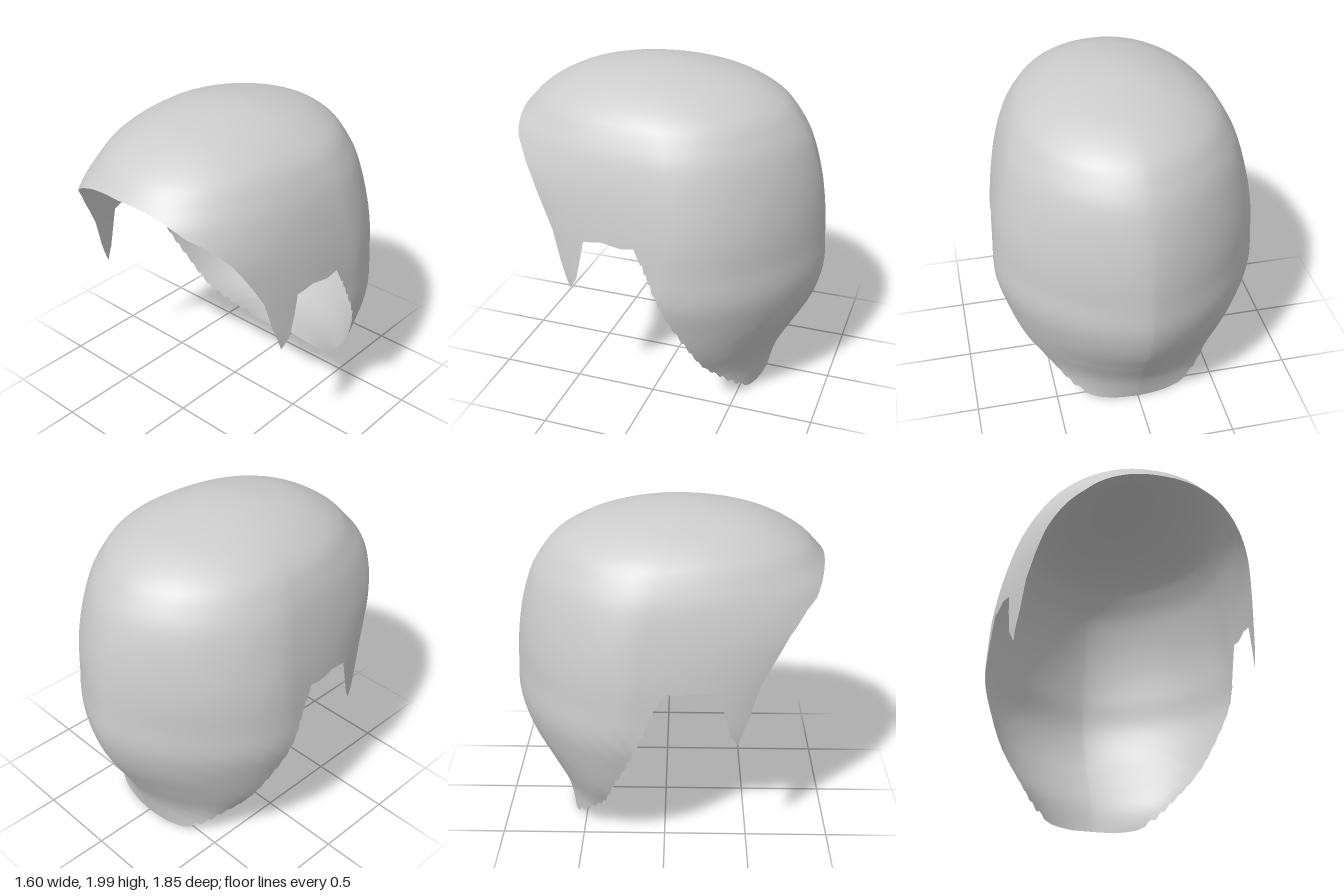
import * as THREE from 'three';

// Horizontal sections of the skull shape: y, half width, z of widest point, back z, front z
const SECTIONS = [
  [2.0, 0, 0.1, 0.1, 0.1],
  [1.98, 0.2, 0.08, -0.15, 0.34],
  [1.95, 0.31, 0.06, -0.31, 0.5],
  [1.9, 0.43, 0.03, -0.48, 0.645],
  [1.8, 0.57, -0.02, -0.655, 0.82],
  [1.7, 0.637, -0.05, -0.74, 0.92],
  [1.6, 0.683, -0.08, -0.8, 1.01],
  [1.4, 0.738, -0.12, -0.865, 1.1],
  [1.2, 0.773, -0.15, -0.9, 1.05],
  [1.0, 0.79, -0.15, -0.915, 0.98],
  [0.8, 0.795, -0.15, -0.918, 0.94],
  [0.6, 0.745, -0.16, -0.865, 0.9],
  [0.4, 0.665, -0.21, -0.76, 0.8],
  [0.2, 0.51, -0.35, -0.655, 0.6],
  [0.0, 0.38, -0.5, -0.6, 0.4],
].map(([y, ...rest]) => [Math.sqrt(2 - y), ...rest]);

// Lower edge seen from the side (z, y), paired with a midline position a:
// the midline height is 2 - a * a, in front for a > 0 and behind for a < 0
const EDGE = [
  [0.925, 1.69, 0.557], [0.912, 1.675, 0.545], [0.885, 1.63, 0.53], [0.85, 1.575, 0.51],
  [0.79, 1.53, 0.49], [0.69, 1.41, 0.46], [0.6, 1.26, 0.43], [0.53, 1.13, 0.39],
  [0.48, 0.95, 0.36], [0.42, 0.79, 0.33], [0.37, 0.87, 0.3], [0.34, 1.0, 0.27],
  [0.315, 1.12, 0.22], [0.2, 1.145, 0.12], [0.08, 1.13, 0.02], [0, 1.145, -0.05],
  [-0.05, 1.04, -0.2], [-0.11, 0.9, -0.45], [-0.2, 0.69, -0.8], [-0.29, 0.48, -1.0],
  [-0.36, 0.28, -1.2], [-0.46, 0.15, -1.3], [-0.56, 0.03, -1.38], [-0.59, 0.01, -1.41],
];

// Smooth interpolation of one column of the section table
function sample(column, v) {
  const last = SECTIONS.length - 1;
  let i = 0;
  while (i < last - 1 && v > SECTIONS[i + 1][0]) i++;
  const slope = (k) => {
    const a = SECTIONS[Math.max(k - 1, 0)], b = SECTIONS[Math.min(k + 1, last)];
    return (b[column] - a[column]) / (b[0] - a[0]);
  };
  const p = SECTIONS[i], q = SECTIONS[i + 1], h = q[0] - p[0];
  const t = Math.min(1, (v - p[0]) / h), t2 = t * t, t3 = t2 * t;
  return p[column] * (2 * t3 - 3 * t2 + 1) + q[column] * (3 * t2 - 2 * t3)
    + h * (slope(i) * (t3 - 2 * t2 + t) + slope(i + 1) * (t3 - t2));
}

// Half width of the shell at a point of the side outline
function halfWidth(z, y) {
  const v = Math.sqrt(Math.max(0, 2 - y));
  const k = Math.min(1, v);
  const centre = sample(2, v);
  const front = z > centre;
  const reach = sample(front ? 4 : 3, v) - centre;
  if (Math.abs(reach) < 1e-6) return 0;
  const u = Math.min(1, Math.abs((z - centre) / reach));
  // Round at the crown, squarer towards the brow and narrower towards the nape
  const p = front ? 2 + 0.5 * k : 2 - 0.15 * k;
  const q = front ? 2 + 0.4 * k : 2 - 0.45 * k;
  return sample(1, v) * Math.pow(Math.max(0, 1 - Math.pow(u, p)), 1 / q);
}

function shellGeometry() {
  const steps = 10, half = 32, columns = 2 * half + 1;
  const rows = (EDGE.length - 1) * steps;
  const positions = [], index = [];
  for (let i = 0; i <= rows; i++) {
    const k = Math.min(Math.floor(i / steps), EDGE.length - 2);
    const t = i / steps - k;
    let [ez, ey, a] = EDGE[k].map((value, c) => value + (EDGE[k + 1][c] - value) * t);
    // Ragged teeth along the rear edge
    if (k >= 16 && k < 22 && i % 4 < 2) ey += 0.02;
    const py = 2 - a * a;
    const pz = sample(a > 0 ? 4 : 3, Math.abs(a));
    for (let j = -half; j <= half; j++) {
      const f = (j / half) ** 2;
      const z = pz + (ez - pz) * f, y = py + (ey - py) * f;
      positions.push(Math.sign(j) * halfWidth(z, y), y, z);
    }
  }
  for (let i = 0; i < rows; i++) {
    for (let j = 0; j < columns - 1; j++) {
      const a = i * columns + j, b = a + columns;
      index.push(a, a + 1, b, a + 1, b + 1, b);
    }
  }
  const geometry = new THREE.BufferGeometry();
  geometry.setAttribute('position', new THREE.Float32BufferAttribute(positions, 3));
  geometry.setIndex(index);
  geometry.computeVertexNormals();
  return geometry;
}

export function createModel() {
  const group = new THREE.Group();
  group.name = 'hairCap';
  const grey = new THREE.MeshStandardMaterial({ color: 0xcccccc, side: THREE.DoubleSide });
  grey.name = 'light grey';
  const shell = new THREE.Mesh(shellGeometry(), grey);
  shell.name = 'hairShell';
  group.add(shell);
  return group;
}
